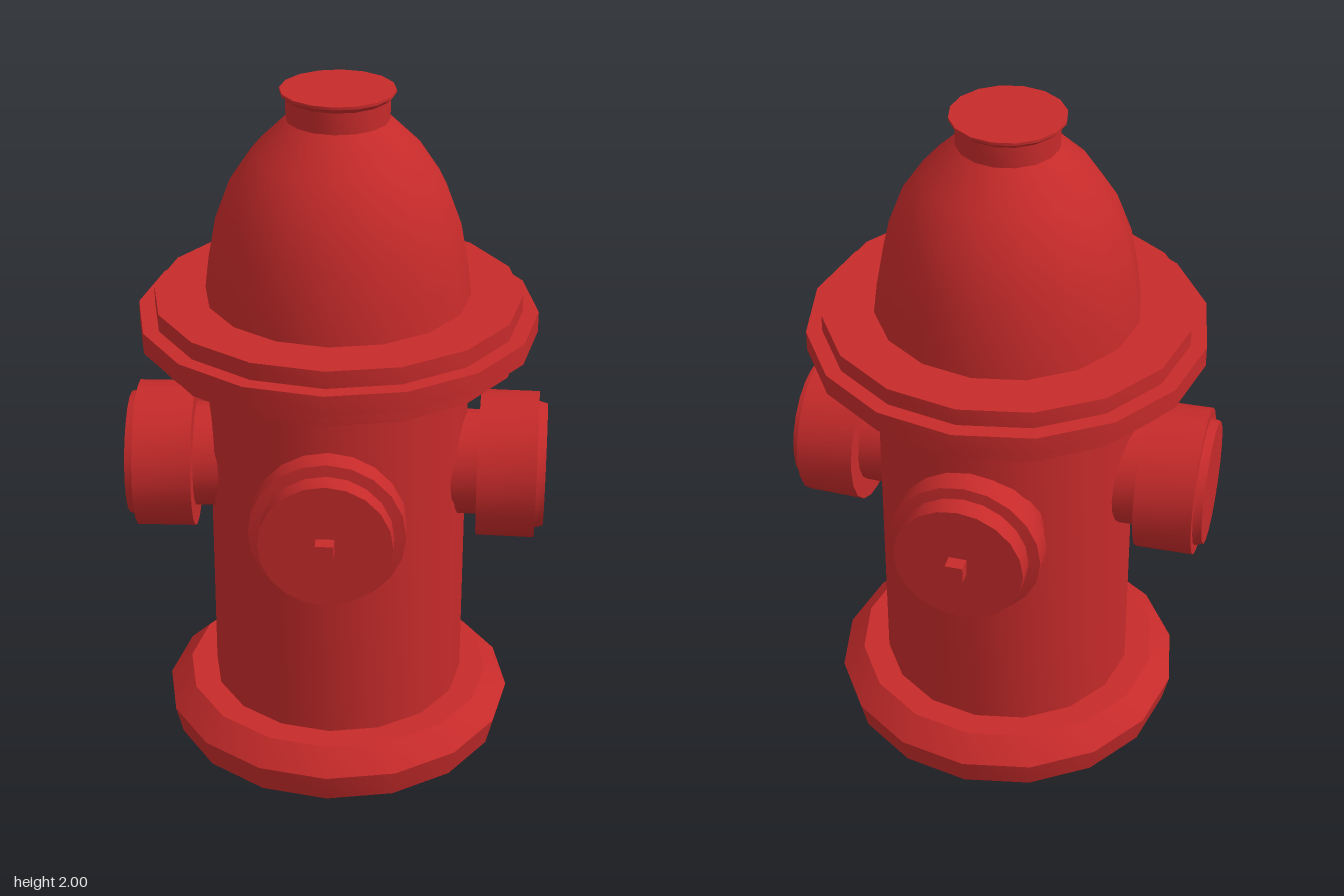
import * as THREE from 'three';
import { toCreasedNormals } from 'three/addons/utils/BufferGeometryUtils.js';

const red = new THREE.MeshStandardMaterial({ color: 0xc62a2a });

// Turned part from [radius, height] pairs listed bottom to top.
function turned(name, profile, sides = 16) {
  const points = profile.map(([r, y]) => new THREE.Vector2(r, y));
  const geometry = toCreasedNormals(new THREE.LatheGeometry(points, sides), 0.6);
  const mesh = new THREE.Mesh(geometry, red);
  mesh.name = name;
  return mesh;
}

// Outlet whose axis points along +z before it is turned about the hydrant.
function outlet(name, profile, angle) {
  const group = new THREE.Group();
  group.name = name;
  const body = turned(name + 'Cap', profile, 20);
  body.rotation.x = Math.PI / 2;
  group.add(body);
  group.position.y = 0.885;
  group.rotation.y = angle;
  return group;
}

export function createModel() {
  const hydrant = new THREE.Group();
  hydrant.name = 'hydrant';

  // Foot, barrel, stepped flange and bonnet
  hydrant.add(
    turned('base', [[0, 0], [0.455, 0], [0.495, 0.02], [0.515, 0.105], [0.45, 0.17], [0, 0.17]]),
    turned('barrel', [[0.372, 0.16], [0.372, 1.26]]),
    turned('flange', [[0, 1.25], [0.518, 1.25], [0.518, 1.3], [0.563, 1.3], [0.563, 1.36],
      [0.518, 1.36], [0.518, 1.41], [0, 1.41]]),
    turned('bonnet', [[0.373, 1.41], [0.362, 1.5], [0.34, 1.62], [0.297, 1.735], [0.237, 1.825], [0.142, 1.918]]),
    turned('topCap', [[0.142, 1.91], [0.142, 1.978], [0.158, 1.992], [0.158, 2], [0, 2]])
  );

  // Front and back outlets with a square nut
  const mainProfile = [[0.19, 0.3], [0.19, 0.39], [0.217, 0.39], [0.217, 0.46],
    [0.185, 0.465], [0.185, 0.525], [0, 0.525]];
  [['frontOutlet', 0], ['backOutlet', Math.PI]].forEach(([name, angle]) => {
    const main = outlet(name, mainProfile, angle);
    const nut = new THREE.Mesh(new THREE.BoxGeometry(0.05, 0.05, 0.06), red);
    nut.name = name + 'Nut';
    nut.position.z = 0.535;
    main.add(nut);
    hydrant.add(main);
  });

  // Side outlets, turned very slightly towards the front
  const sideProfile = [[0.153, 0.3], [0.153, 0.41], [0.213, 0.41], [0.213, 0.577],
    [0.185, 0.577], [0.178, 0.602], [0, 0.602]];
  const turn = Math.PI / 2 - 0.028;
  hydrant.add(outlet('leftOutlet', sideProfile, turn), outlet('rightOutlet', sideProfile, -turn));

  return hydrant;
}
